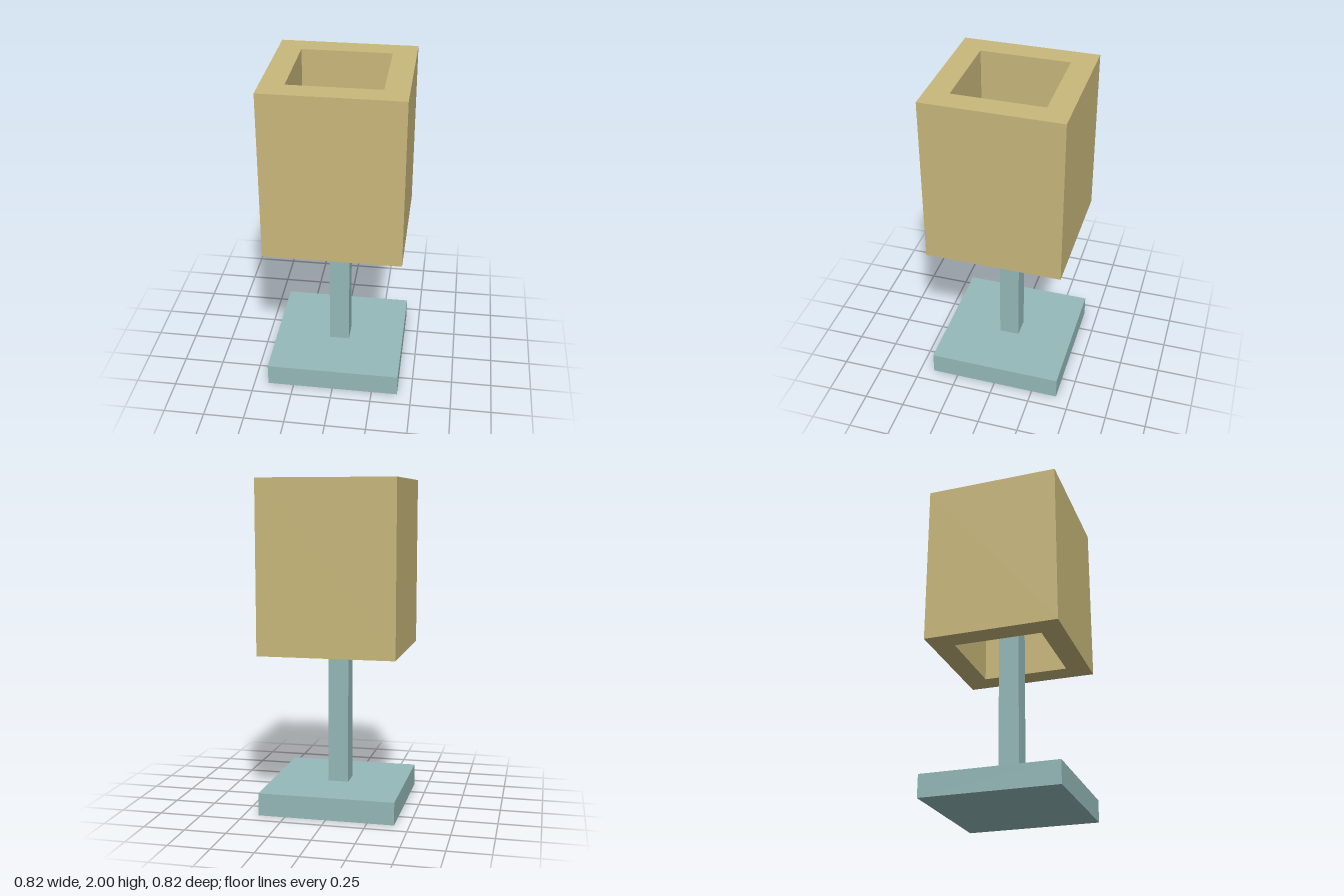
import * as THREE from 'three';

const shadeMaterial = new THREE.MeshStandardMaterial({ name: 'tan shade', color: 0xc9b87b });
const standMaterial = new THREE.MeshStandardMaterial({ name: 'pale teal stand', color: 0x95b9b9 });

const WIDTH = 0.824;
const BASE_HEIGHT = 0.137;
const SHADE_BOTTOM = 0.968;
const SHADE_TOP = 2;

// Adds a square upright block spanning two heights
function addBlock(group, name, width, bottom, top, material) {
  const mesh = new THREE.Mesh(new THREE.BoxGeometry(width, top - bottom, width), material);
  mesh.name = name;
  mesh.position.y = (bottom + top) / 2;
  group.add(mesh);
}

// Traces a centred square on a shape or path
function traceSquare(path, width) {
  const h = width / 2;
  path.moveTo(-h, -h).lineTo(h, -h).lineTo(h, h).lineTo(-h, h).closePath();
  return path;
}

export function createModel() {
  const lamp = new THREE.Group();
  lamp.name = 'tableLamp';

  // Stand: square base, with a pole reaching up inside the shade
  addBlock(lamp, 'base', WIDTH, 0, BASE_HEIGHT, standMaterial);
  addBlock(lamp, 'pole', 0.126, BASE_HEIGHT, 1.48, standMaterial);

  // Shade: thick square tube, open at both ends
  const outline = traceSquare(new THREE.Shape(), WIDTH);
  outline.holes.push(traceSquare(new THREE.Path(), 0.542));
  const geometry = new THREE.ExtrudeGeometry(outline, {
    depth: SHADE_TOP - SHADE_BOTTOM,
    bevelEnabled: false,
  });
  geometry.rotateX(-Math.PI / 2);
  const shade = new THREE.Mesh(geometry, shadeMaterial);
  shade.name = 'shade';
  shade.position.y = SHADE_BOTTOM;
  lamp.add(shade);

  return lamp;
}
